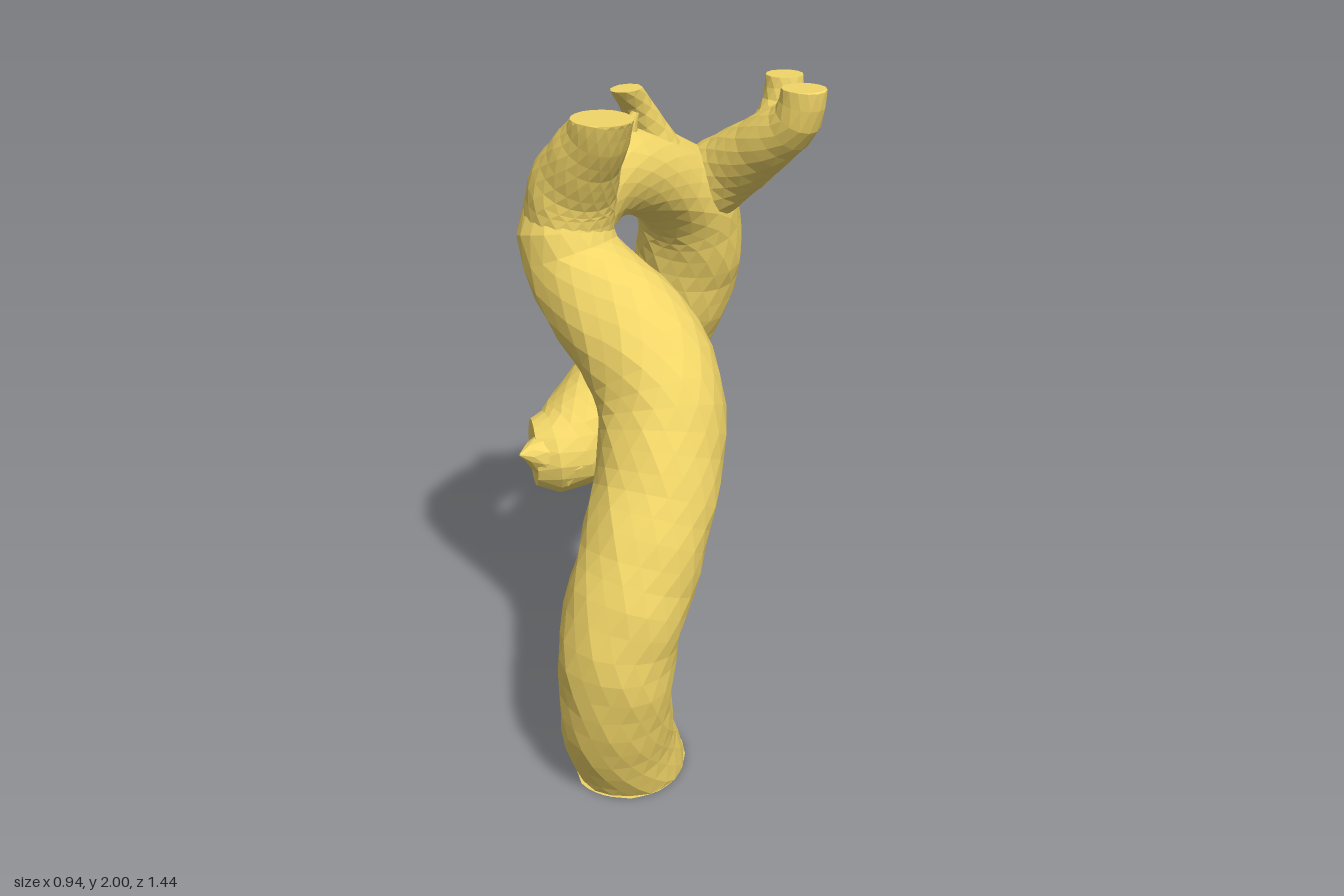
import * as THREE from 'three';

const material = new THREE.MeshStandardMaterial({ color: 0xf2d668, flatShading: true });

// Gentle repeatable unevenness for the organic surface
const wobble = (p) => Math.sin(p.x * 17 + p.y * 9) * Math.sin(p.y * 13 - p.z * 15 + 1) + 0.6 * Math.sin(p.z * 31 + p.x * 27 + p.y * 23);

// Vessel of changing radius along [x, y, z, radius] stations, cut flat at y = 0 and y = 2
function vessel(name, stations, rings, sides) {
  const curve = new THREE.CatmullRomCurve3(stations.map(([x, y, z]) => new THREE.Vector3(x, y, z)));
  const { tangents, normals, binormals } = curve.computeFrenetFrames(rings);
  const positions = [];
  const index = [];

  const add = (p, tangent) => {
    const level = THREE.MathUtils.clamp(p.y, 0, 2);
    if (level !== p.y && Math.abs(tangent.y) > 0.3) p.addScaledVector(tangent, (level - p.y) / tangent.y);
    p.y = level;
    positions.push(p.x, p.y, p.z);
  };

  for (let i = 0; i <= rings; i++) {
    const centre = curve.getPointAt(i / rings);
    const s = curve.getUtoTmapping(i / rings) * (stations.length - 1);
    const k = Math.min(Math.floor(s), stations.length - 2);
    const radius = THREE.MathUtils.lerp(stations[k][3], stations[k + 1][3], s - k);
    for (let j = 0; j < sides; j++) {
      const a = ((j + (i % 2) * 0.5) / sides) * Math.PI * 2;
      const dir = normals[i].clone().multiplyScalar(Math.cos(a)).addScaledVector(binormals[i], Math.sin(a));
      const p = centre.clone().addScaledVector(dir, radius);
      p.addScaledVector(dir, radius * 0.025 * wobble(p));
      add(p, tangents[i]);
    }
  }
  // Walls
  for (let i = 0; i < rings; i++) {
    for (let j = 0; j < sides; j++) {
      const n = (j + 1) % sides;
      const a = i * sides + j, b = i * sides + n;
      const c = a + sides, d = b + sides;
      if (i % 2) index.push(a, b, d, a, d, c);
      else index.push(a, b, c, b, d, c);
    }
  }
  // End caps
  add(curve.getPointAt(0), tangents[0]);
  add(curve.getPointAt(1), tangents[rings]);
  const first = (rings + 1) * sides;
  for (let j = 0; j < sides; j++) {
    const n = (j + 1) % sides;
    index.push(first, n, j, first + 1, rings * sides + j, rings * sides + n);
  }

  const geometry = new THREE.BufferGeometry();
  geometry.setAttribute('position', new THREE.Float32BufferAttribute(positions, 3));
  geometry.setIndex(index);
  geometry.computeVertexNormals();
  const mesh = new THREE.Mesh(geometry, material);
  mesh.name = name;
  return mesh;
}

export function createModel() {
  const model = new THREE.Group();
  model.name = 'archedVessel';

  // Main tube: up the front, over the arch and down the back
  model.add(vessel('mainVessel', [
    [-0.16, -0.1, 0.33, 0.168],
    [-0.19, 0, 0.385, 0.168],
    [-0.24, 0.2, 0.475, 0.168],
    [-0.25, 0.4, 0.535, 0.17],
    [-0.235, 0.6, 0.545, 0.175],
    [-0.17, 0.8, 0.495, 0.182],
    [-0.105, 1.0, 0.405, 0.182],
    [-0.08, 1.19, 0.31, 0.185],
    [-0.13, 1.34, 0.22, 0.188],
    [-0.225, 1.45, 0.125, 0.17],
    [-0.3, 1.55, 0.05, 0.148],
    [-0.315, 1.66, 0.015, 0.138],
    [-0.23, 1.75, -0.07, 0.135],
    [-0.095, 1.74, -0.195, 0.135],
    [0.03, 1.66, -0.315, 0.14],
    [0.11, 1.55, -0.415, 0.165],
    [0.125, 1.4, -0.475, 0.175],
    [0.095, 1.22, -0.525, 0.178],
    [0.01, 1.05, -0.545, 0.175],
    [-0.12, 0.89, -0.5, 0.165],
    [-0.26, 0.755, -0.405, 0.158],
    [-0.35, 0.725, -0.365, 0.145],
    [-0.42, 0.725, -0.36, 0.115],
  ], 64, 18));

  // Wide branch at the front of the arch
  model.add(vessel('frontBranch', [
    [-0.31, 1.64, 0.02, 0.134],
    [-0.298, 1.75, 0.035, 0.135],
    [-0.265, 1.86, 0.1, 0.11],
    [-0.235, 1.94, 0.158, 0.092],
    [-0.21, 2.06, 0.215, 0.083],
  ], 12, 18));

  // Short stub on top of the arch, with a side twig
  model.add(vessel('middleBranch', [
    [0.0, 1.73, -0.26, 0.1],
    [-0.04, 1.85, -0.225, 0.06],
    [-0.085, 1.94, -0.185, 0.046],
    [-0.135, 2.03, -0.12, 0.042],
  ], 8, 10));
  model.add(vessel('middleTwig', [
    [-0.12, 1.8, -0.16, 0.045],
    [-0.11, 1.88, -0.14, 0.025],
    [-0.09, 1.93, -0.14, 0.012],
  ], 4, 8));

  // Forked branch at the back of the arch
  model.add(vessel('forkedBranch', [
    [0.13, 1.59, -0.4, 0.125],
    [0.23, 1.705, -0.31, 0.112],
    [0.325, 1.825, -0.17, 0.09],
    [0.385, 1.91, -0.085, 0.075],
    [0.4, 2.05, -0.06, 0.063],
  ], 14, 14));
  model.add(vessel('forkedBranchRear', [
    [0.24, 1.71, -0.3, 0.085],
    [0.34, 1.83, -0.23, 0.078],
    [0.375, 1.92, -0.245, 0.062],
    [0.38, 2.05, -0.26, 0.055],
  ], 9, 12));

  // Pointed tip at the lower back end
  model.add(vessel('endSpur', [
    [-0.33, 0.72, -0.335, 0.115],
    [-0.41, 0.76, -0.285, 0.06],
    [-0.47, 0.78, -0.24, 0.004],
  ], 5, 8));

  return model;
}
